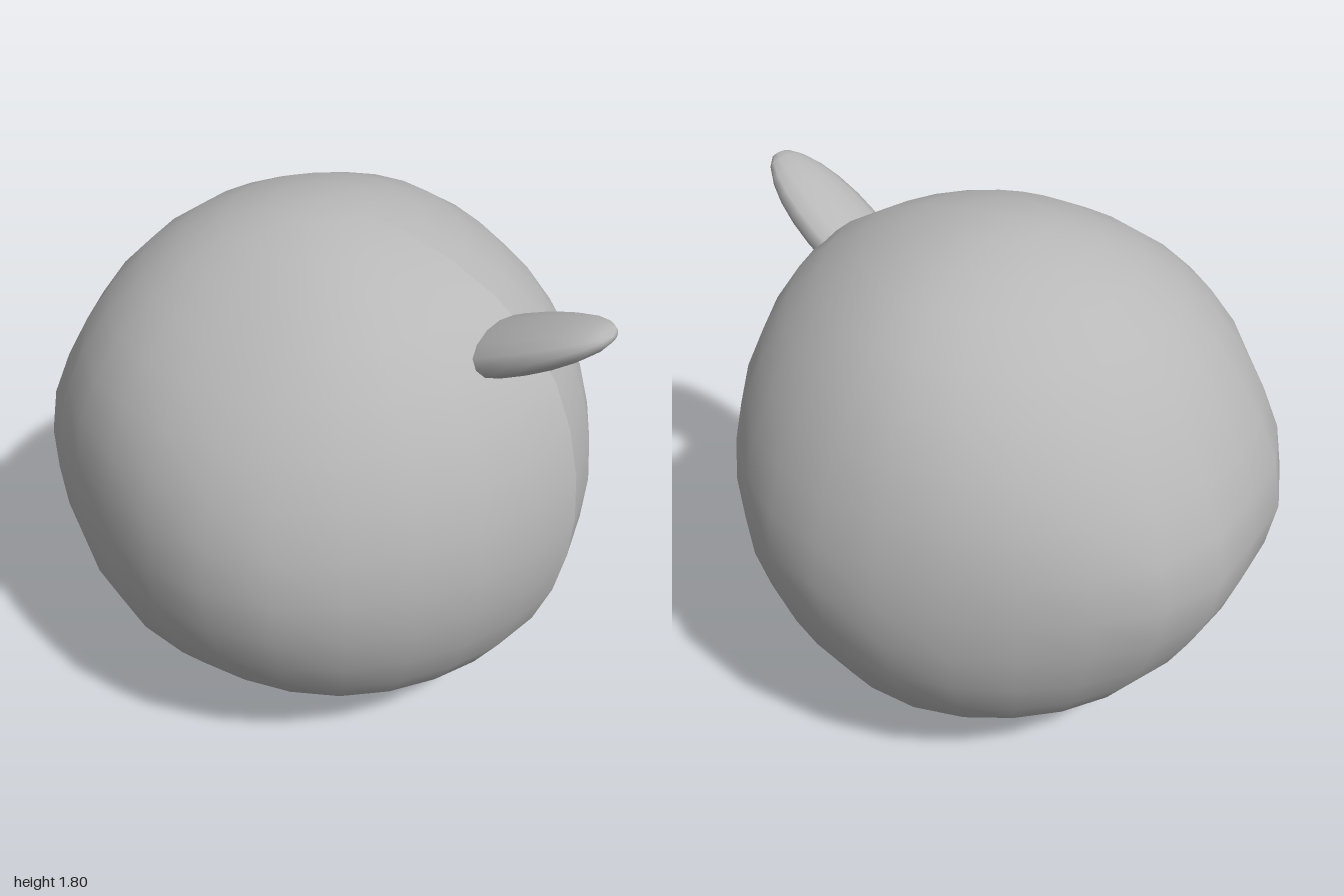
import * as THREE from 'three';

const DEG = Math.PI / 180;
const CENTRE = new THREE.Vector3(-0.045, 0.905, 0);

// Soft swellings and hollows: [longitude, latitude, height, spread], in degrees and units.
// Each is mirrored above and below the equator; longitude runs from +x towards +z.
const BUMPS = [
  [160, 0, 0.055, 17], [200, 0, 0.06, 17],
  [0, 38, 0.022, 20],
  [72, 0, 0.02, 16], [288, 0, 0.02, 16],
  [114, 0, -0.03, 18], [246, 0, -0.02, 18],
  [90, 50, -0.03, 20], [270, 50, 0.02, 18],
];

function direction(lon, lat) {
  return new THREE.Vector3(
    Math.cos(lat) * Math.cos(lon), Math.sin(lat), Math.cos(lat) * Math.sin(lon));
}

const LOBES = BUMPS.flatMap(([lon, lat, h, s]) => (lat ? [lat, -lat] : [0]).map((l) => ({
  dir: direction(lon * DEG, l * DEG), h, s: s * DEG,
})));

function radiusAt(lon, lat) {
  const d = direction(lon, lat);
  let r = 0.9;
  for (const { dir, h, s } of LOBES) r += h * Math.exp(-((d.angleTo(dir) / s) ** 2));
  // Gentle ridge along the +x meridian
  const away = Math.min(lon, 2 * Math.PI - lon);
  r += 0.036 * Math.exp(-away / 0.45) * Math.min(1, 1.6 * Math.cos(lat) ** 2);
  return r;
}

// Lumpy ball: a sphere whose seam sits on +x, its vertices moved in and out
function makeBody(material) {
  const cols = 26, rows = 18;
  const geo = new THREE.SphereGeometry(1, cols, rows);
  const pos = geo.attributes.position;
  for (let j = 0, k = 0; j <= rows; j++) {
    const lat = Math.PI / 2 - (j / rows) * Math.PI;
    for (let i = 0; i <= cols; i++, k++) {
      // Longitude falls with the column so the faces point outwards
      const lon = 2 * Math.PI * (1 - i / cols);
      const p = direction(lon, lat).multiplyScalar(radiusAt(lon, lat));
      pos.setXYZ(k, p.x, p.y, p.z);
    }
  }
  geo.computeVertexNormals();
  // Poles share one upright normal
  const n = geo.attributes.normal;
  for (let i = 0; i <= cols; i++) {
    n.setXYZ(i, 0, 1, 0);
    n.setXYZ(rows * (cols + 1) + i, 0, -1, 0);
  }
  const body = new THREE.Mesh(geo, material);
  body.name = 'body';
  body.position.copy(CENTRE);
  return body;
}

// Flattened, rounded stub growing out of the upper left side
function makeStub(material) {
  const geo = new THREE.SphereGeometry(1, 14, 12);
  const along = new THREE.Vector3(0.86, 0.45, 0.22).normalize();
  const wide = new THREE.Vector3(-0.1, -0.05, 1);
  wide.addScaledVector(along, -wide.dot(along)).normalize();
  const thin = new THREE.Vector3().crossVectors(along, wide);
  geo.scale(0.155, 0.38, 0.075);
  geo.applyMatrix4(new THREE.Matrix4().makeBasis(wide, along, thin.negate()));
  const stub = new THREE.Mesh(geo, material);
  stub.name = 'stub';
  stub.position.set(0.67, 1.53, 0.095);
  return stub;
}

export function createModel() {
  const grey = new THREE.MeshStandardMaterial({ color: 0xb8b8b8 });
  grey.name = 'grey';
  const model = new THREE.Group();
  model.name = 'lumpyBall';
  model.add(makeBody(grey), makeStub(grey));
  return model;
}
